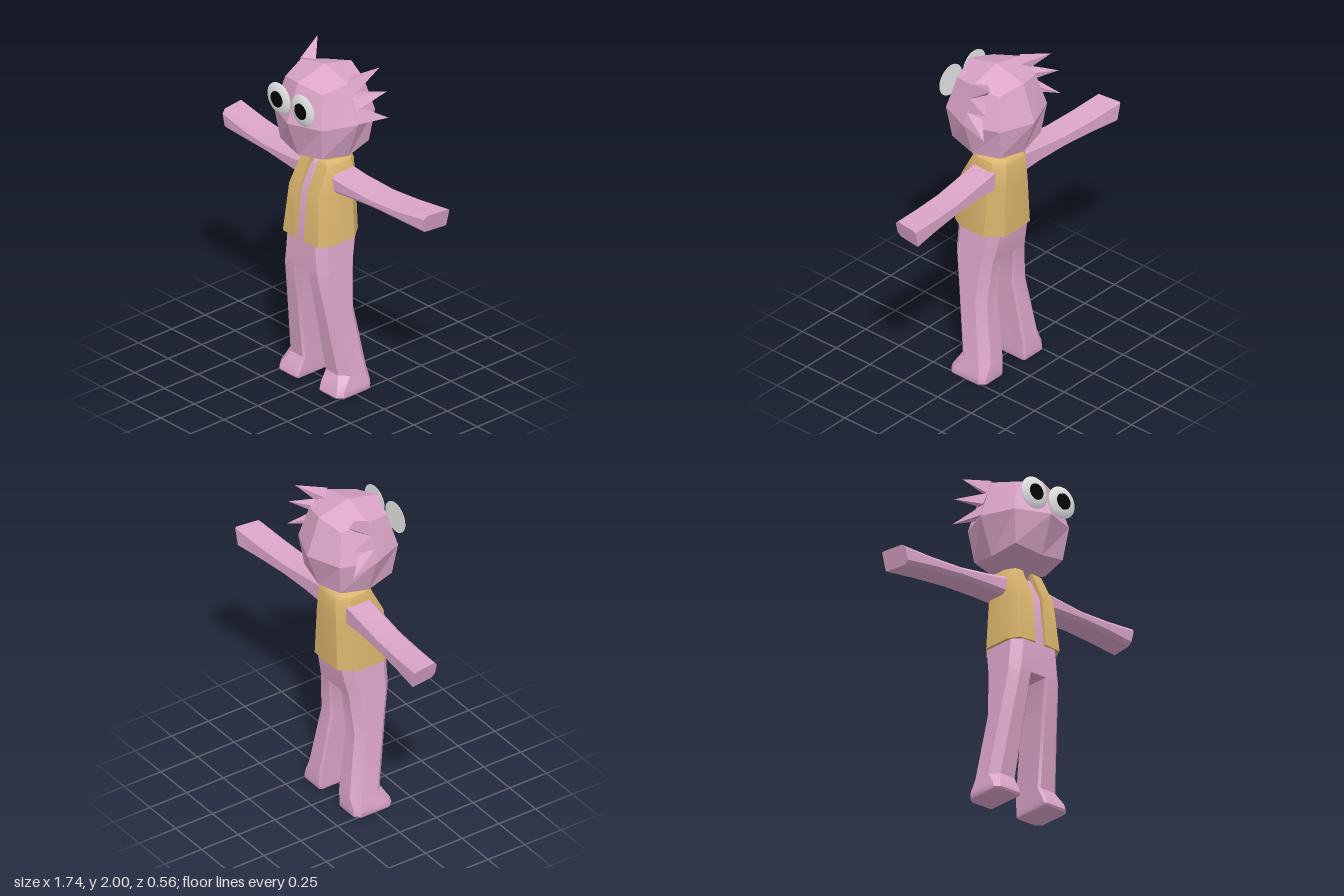
import * as THREE from 'three';
import { toCreasedNormals } from 'three/addons/utils/BufferGeometryUtils.js';

const mat = (name, color) => Object.assign(new THREE.MeshStandardMaterial({ color }), { name });

// Skin a list of equal-length point rings, closing both ends with fans
function loft(rings, crease = 0.6, capA = null, capB = null) {
  const n = rings[0].length, pos = rings.flat(2), idx = [];
  const centre = (r) => [0, 1, 2].map((k) => r.reduce((s, p) => s + p[k], 0) / n);
  const a = rings.length * n, b = a + 1, last = (rings.length - 1) * n;
  pos.push(...(capA || centre(rings[0])), ...(capB || centre(rings[rings.length - 1])));
  for (let j = 0; j < n; j++) {
    const k = (j + 1) % n;
    for (let i = 0; i < last; i += n) idx.push(i + j, i + k, i + n + j, i + k, i + n + k, i + n + j);
    idx.push(a, k, j, b, last + j, last + k);
  }
  // Turn the faces outward when the signed volume is negative
  const v = (i) => new THREE.Vector3().fromArray(pos, i * 3);
  let volume = 0;
  for (let t = 0; t < idx.length; t += 3) volume += v(idx[t]).dot(v(idx[t + 1]).cross(v(idx[t + 2])));
  if (volume < 0) idx.reverse();
  const g = new THREE.BufferGeometry();
  g.setAttribute('position', new THREE.Float32BufferAttribute(pos, 3));
  g.setIndex(idx);
  return toCreasedNormals(g, crease);
}

// Rectangle with cut corners: c0 on the low-u side, c1 on the high-u side
const cutRect = (u0, u1, v0, v1, c0, c1) => [
  [u0 + c0, v0], [u1 - c1, v0], [u1, v0 + c1], [u1, v1 - c1],
  [u1 - c1, v1], [u0 + c0, v1], [u0, v1 - c0], [u0, v0 + c0]];

export function createModel() {
  const root = new THREE.Group();
  const pink = mat('pink skin', 0xdba5c8), tan = mat('tan vest', 0xd9b36c);
  const white = mat('eye white', 0xe6e6e6), black = mat('pupil black', 0x050505);
  const add = (name, geo, material) => {
    const m = new THREE.Mesh(geo, material);
    m.name = name;
    root.add(m);
    return m;
  };

  // Faceted head
  const headRing = (y, a, d, yd) => Array.from({ length: 8 }, (_, k) => {
    const t = k * Math.PI / 4, r = k % 2 ? d * Math.SQRT2 : a;
    return [r * Math.cos(t), k % 2 ? yd : y, r * Math.sin(t)];
  });
  add('head', loft([
    headRing(1.48, 0.2, 0.175, 1.51),
    headRing(1.705, 0.28, 0.2, 1.705),
    headRing(1.935, 0.2, 0.155, 1.9),
  ], 0.15, [0, 1.43, 0], [0, 1.985, 0]), pink);

  // Torso: y, half width, front z, back z
  add('torso', loft([
    [0.75, 0.184, 0.175, -0.09], [0.94, 0.165, 0.175, -0.13],
    [1.24, 0.135, 0.14, -0.13], [1.375, 0.11, 0.065, -0.11],
  ].map(([y, w, f, b]) => cutRect(-w, w, b, f, 0.05, 0.05).map(([x, z]) => [x, y, z]))), pink);

  // Vest: y, half width, front z, back z, running up the outside and down the inside
  const wall = [
    [0.94, 0.183, 0.19, -0.16], [1.24, 0.155, 0.162, -0.157], [1.385, 0.138, 0.09, -0.15],
    [1.41, 0.128, 0.082, -0.14], [1.425, 0.095, 0.065, -0.12],
    [1.415, 0.05, 0.045, -0.1], [0.94, 0.16, 0.168, -0.138]];
  const half = [[0, 1], [0.8, 0.95], [1, 0.55], [1, -0.45], [0.6, -0.95]];
  const stations = [...half, [0, -1], ...half.map(([x, z]) => [-x, z]).reverse()];
  add('vest', loft(stations.map(([u, v], i) => wall.map(([y, w, f, b]) => {
    const x = i === 0 ? 0.035 : i === stations.length - 1 ? -0.035 : u * w;
    return [x, y, (f + b) / 2 + v * (f - b) / 2];
  }))), tan);

  for (const s of [1, -1]) {
    const side = s > 0 ? 'left' : 'right';

    // Leg and foot: y, inner x, outer x, back z, front z
    add(side + 'Leg', loft([
      [0, 0.092, 0.262, -0.125, 0.12], [0.012, 0.088, 0.268, -0.13, 0.127],
      [0.045, 0.087, 0.265, -0.13, 0.118], [0.12, 0.085, 0.247, -0.13, 0.076],
      [0.5, 0.064, 0.208, -0.07, 0.135], [0.75, 0.05, 0.184, -0.09, 0.175],
      [0.78, 0.04, 0.18, -0.096, 0.175],
    ].map(([y, x0, x1, b, f]) => cutRect(x0, x1, b, f, 0.012, y < 0.1 ? 0.03 : 0.048)
      .map(([x, z]) => [s * x, y, z]))), pink);

    // Arm: x, bottom y, top y, back z, front z; the end is cut at a slant
    add(side + 'Arm', loft([
      [0.09, 1.24, 1.365, -0.1, 0.07], [0.25, 1.25, 1.345, -0.105, 0.06],
      [0.45, 1.258, 1.33, -0.12, 0.045], [0.65, 1.253, 1.337, -0.138, 0.03],
      [0.85, 1.243, 1.357, -0.158, 0.01],
    ].map(([x, y0, y1, b, f], i) => cutRect(b, f, y0, y1, 0.007, 0.022).map(([z, y]) => [
      s * (x + (i === 4 ? (y - 1.3) * 0.25 - (z + 0.1) * 0.13 : 0)), y, z]))), pink);

    // Hair spikes: base top x/y, base bottom x/y, tip
    [
      [0.2, 1.945, 0.228, 1.86, [0.26, 2.0, -0.18]],
      [0.228, 1.862, 0.262, 1.785, [0.31, 1.865, -0.19]],
      [0.255, 1.785, 0.28, 1.71, [0.325, 1.705, -0.19]],
    ].forEach(([xt, yt, xb, yb, tip], i) => {
      const base = [[xt, yt, 0], [xb, yb, 0], [xb - 0.07, yb + 0.01, -0.06], [xt - 0.06, yt - 0.01, -0.06]];
      add(side + 'HairSpike' + (i + 1), loft(
        [base.map(([x, y, z]) => [s * x, y, z])], 0.2, null, [s * tip[0], tip[1], tip[2]]), pink);
    });

    // Shallow domed eye with a flat pupil
    const profile = [[0, 0], [0.095, 0], [0.095, 0.003], [0.078, 0.012], [0.052, 0.018], [0, 0.02]];
    const dome = new THREE.LatheGeometry(profile.map((p) => new THREE.Vector2(...p)), 32);
    const eye = add(side + 'Eye', toCreasedNormals(dome.rotateX(Math.PI / 2), 0.7), white);
    eye.position.set(s * 0.1, 1.815, 0.25);
    const pupil = add(side + 'Pupil', new THREE.CylinderGeometry(0.048, 0.048, 0.004, 32).rotateX(Math.PI / 2), black);
    pupil.position.set(s * 0.1, 1.815, 0.27);
  }
  return root;
}
